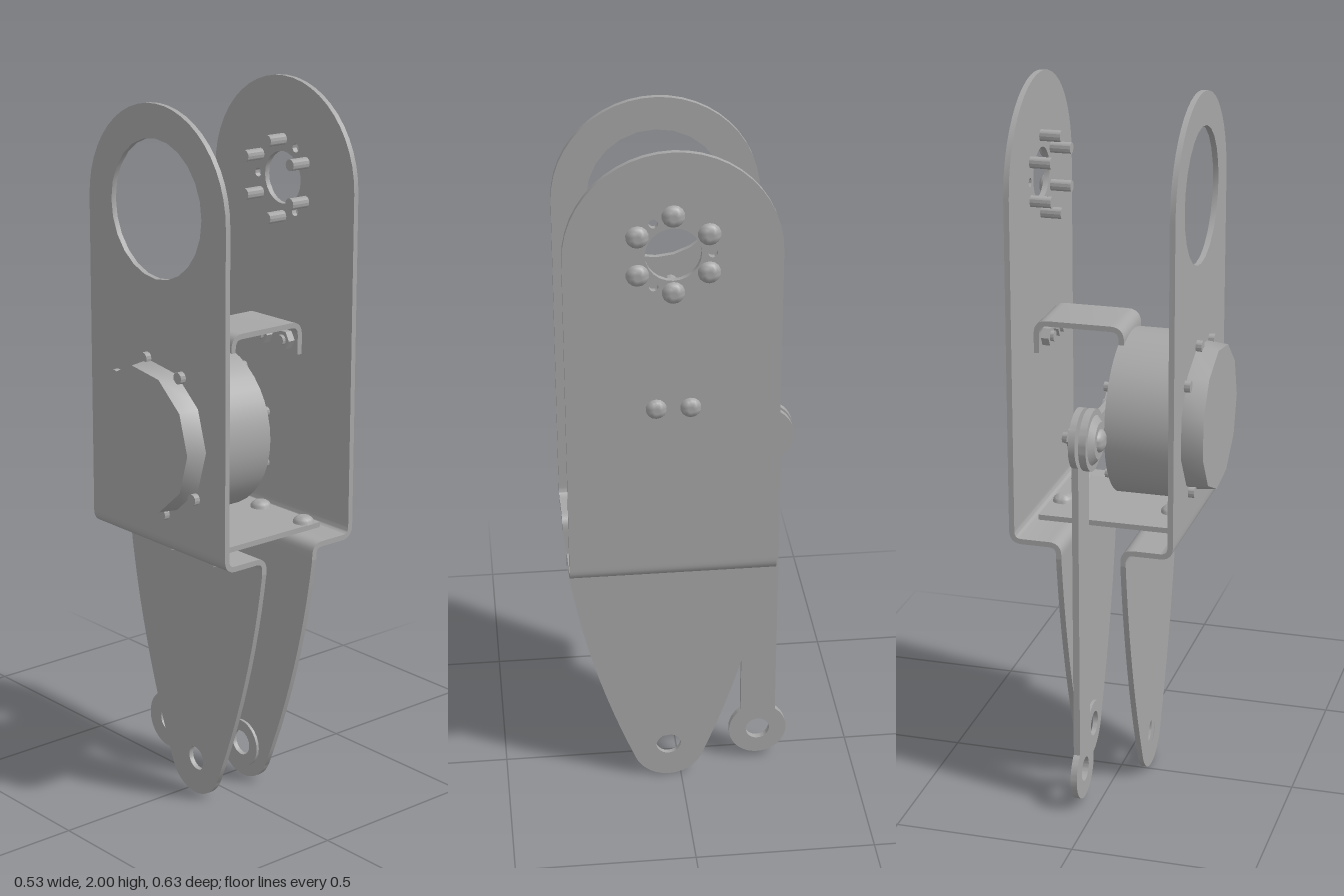
import * as THREE from 'three';
import { toCreasedNormals } from 'three/addons/utils/BufferGeometryUtils.js';

const steel = new THREE.MeshStandardMaterial({ color: 0xa6a6a6 });
steel.name = 'grey steel';
const ZC = 0.035; // centre line of the plates and motor
const SHEET = 0.015; // sheet thickness

export function createModel() {
  const root = new THREE.Group();
  root.name = 'legLinkAssembly';

  const add = (name, geo, x = 0, y = 0, z = 0) => {
    const m = new THREE.Mesh(toCreasedNormals(geo, 0.6), steel);
    m.name = name;
    m.position.set(x, y, z);
    root.add(m);
    return m;
  };

  // Cylinder along x from x0 to x1, radius r0 to r1
  const rod = (name, x0, x1, y, z, r0, r1 = r0, n = 24) =>
    add(name, new THREE.CylinderGeometry(r1, r0, x1 - x0, n).rotateZ(-Math.PI / 2), (x0 + x1) / 2, y, z);

  // Half dome pointing along a direction
  const dome = (name, x, y, z, r, h, dir) => {
    const g = new THREE.SphereGeometry(r, 14, 5, 0, Math.PI * 2, 0, Math.PI / 2).scale(1, h / r, 1);
    const m = add(name, g, x, y, z);
    m.quaternion.setFromUnitVectors(new THREE.Vector3(0, 1, 0), new THREE.Vector3(...dir));
  };

  const hole = (shape, u, y, r) => shape.holes.push(new THREE.Path().absarc(u, y, r, 0, Math.PI * 2, true));

  // Flat plate whose outline lies in the z-y plane, centred on x
  const plate = (name, shape, x, t = SHEET, segs = 12) =>
    add(name, new THREE.ExtrudeGeometry(shape, { depth: t, bevelEnabled: false, curveSegments: segs })
      .rotateY(-Math.PI / 2), x + t / 2);

  // Bent strip: an x-y centre line with rounded corners, extruded from z0 to z1
  const strip = (name, pts, bend, z0, z1) => {
    const v = pts.map(p => new THREE.Vector2(...p));
    const line = [v[0]];
    for (let i = 1; i < v.length - 1; i++) {
      const a = v[i].clone().add(v[i - 1].clone().sub(v[i]).setLength(bend));
      const b = v[i].clone().add(v[i + 1].clone().sub(v[i]).setLength(bend));
      line.push(...new THREE.QuadraticBezierCurve(a, v[i], b).getPoints(6));
    }
    line.push(v[v.length - 1]);
    const side = s => line.map((p, i) => {
      const d = line[Math.min(i + 1, line.length - 1)].clone().sub(line[Math.max(i - 1, 0)]).normalize();
      return new THREE.Vector2(p.x - d.y * s, p.y + d.x * s);
    });
    const shape = new THREE.Shape([...side(SHEET / 2), ...side(-SHEET / 2).reverse()]);
    add(name, new THREE.ExtrudeGeometry(shape, { depth: z1 - z0, bevelEnabled: false }), 0, 0, z0);
  };

  // Side plates, round at the top
  const HW = 0.28;
  const upperShape = top => {
    const s = new THREE.Shape();
    s.moveTo(ZC - HW, 0.815);
    s.lineTo(ZC + HW, 0.815);
    s.lineTo(ZC + HW, top - HW);
    s.absarc(ZC, top - HW, HW, 0, Math.PI, false);
    s.closePath();
    return s;
  };
  const hubY = 1.725;
  const leftShape = upperShape(2);
  hole(leftShape, ZC, hubY, 0.072);
  for (let i = 0; i < 3; i++) {
    const a = Math.PI + i * Math.PI * 2 / 3;
    hole(leftShape, ZC + Math.cos(a) * 0.1, hubY + Math.sin(a) * 0.1, 0.012);
  }
  plate('leftSidePlate', leftShape, 0.24);
  const rightShape = upperShape(1.97);
  hole(rightShape, ZC, 1.695, 0.185);
  plate('rightSidePlate', rightShape, -0.202);

  // Folded shoulders joining side plates to the legs
  strip('leftShoulder', [[0.24, 0.815], [0.24, 0.775], [0.108, 0.775], [0.108, 0.735]], 0.028, ZC - HW, ZC + HW);
  strip('rightShoulder', [[-0.202, 0.815], [-0.202, 0.775], [-0.072, 0.775], [-0.072, 0.735]], 0.028, ZC - HW, ZC + HW);

  // Tapered legs with a bushing on the inner face
  const pinY = 0.107;
  for (const [side, x, inward] of [['left', 0.108, -1], ['right', -0.072, 1]]) {
    const s = new THREE.Shape();
    s.moveTo(ZC + HW, 0.737);
    s.quadraticCurveTo(ZC + 0.235, 0.4, ZC + 0.095, 0.067);
    s.absarc(ZC, pinY, 0.103, -0.4, -Math.PI + 0.4, true);
    s.quadraticCurveTo(ZC - 0.235, 0.4, ZC - HW, 0.737);
    s.closePath();
    hole(s, ZC, pinY, 0.036);
    plate(side + 'Leg', s, x);
    const ring = new THREE.Shape().absarc(ZC, pinY, 0.068, 0, Math.PI * 2, false);
    hole(ring, ZC, pinY, 0.036);
    plate(side + 'LegBushing', ring, x + inward * 0.009, 0.014);
  }

  // Cross plate and its bolts
  add('crossPlate', new THREE.BoxGeometry(0.38, SHEET, 0.325), 0.02, 0.79, 0.063);
  for (const x of [-0.137, 0.175]) for (const z of [0.02, 0.197]) {
    dome('crossPlateBolt', x, 0.797, z, 0.03, 0.022, [0, 1, 0]);
    add('crossPlateNut', new THREE.CylinderGeometry(0.027, 0.027, 0.02, 6), x, 0.758, z);
  }

  // Hub screws on the left plate
  for (let i = 0; i < 6; i++) {
    const a = Math.PI / 2 + i * Math.PI / 3;
    const y = hubY + Math.sin(a) * 0.105, z = ZC + Math.cos(a) * 0.105;
    rod('hubScrewShaft', 0.175, 0.247, y, z, 0.016, 0.016, 12);
    dome('hubScrewHead', 0.247, y, z, 0.03, 0.019, [1, 0, 0]);
  }

  // Upper bracket between motor and left plate
  strip('motorBracket', [[-0.014, 1.24], [-0.014, 1.335], [0.224, 1.335], [0.224, 1.25]], 0.03, -0.055, 0.12);
  for (const z of [-0.01, 0.08]) {
    dome('bracketScrewHead', 0.247, 1.288, z, 0.028, 0.018, [1, 0, 0]);
    rod('bracketNut', 0.195, 0.218, 1.288, z, 0.028, 0.028, 6);
    rod('bracketScrewEnd', 0.185, 0.2, 1.288, z, 0.015, 0.015, 12);
  }

  // Motor body, end cap and screws
  const motorY = 1.083;
  rod('motorBody', -0.195, -0.006, motorY, ZC - 0.002, 0.228, 0.228, 40);
  rod('motorEndCap', -0.268, -0.19, motorY, ZC - 0.003, 0.2, 0.208, 11);
  for (const deg of [40, 80, 120, 220, 260, 300]) {
    const a = deg * Math.PI / 180;
    const y = motorY + Math.sin(a) * 0.212, z = ZC - Math.cos(a) * 0.212;
    rod('motorRearScrew', -0.226, -0.2, y, z, 0.016, 0.016, 12);
  }
  for (const deg of [35, 120, 160, 200, 240, 320]) {
    const a = deg * Math.PI / 180;
    rod('motorFrontScrew', -0.01, 0.01, motorY + Math.sin(a) * 0.205, ZC - Math.cos(a) * 0.205, 0.013, 0.013, 12);
  }

  // Output horn
  rod('hornBase', -0.008, 0.004, motorY, ZC, 0.07);
  rod('hornDisc', 0.002, 0.012, motorY, ZC, 0.088);
  rod('hornCollar', 0.028, 0.045, motorY, ZC, 0.06);
  rod('hornBolt', 0.045, 0.06, motorY, ZC, 0.025, 0.025, 6);

  // Bar with round ends; built upright, from y0 to y1
  const barShape = (u, y0, y1, r, w) => {
    const s = new THREE.Shape();
    const a = Math.asin(w / r);
    s.absarc(u, y0, r, Math.PI / 2 + a, Math.PI * 2.5 - a, false);
    s.absarc(u, y1, r, -Math.PI / 2 + a, Math.PI * 1.5 - a, false);
    s.closePath();
    return s;
  };
  const crankZ = -0.232;

  // Crank arm from the horn to the push rod
  const crank = plate('crankArm', barShape(0, crankZ, ZC, 0.084, 0.05), 0, 0.02, 24);
  crank.rotation.x = Math.PI / 2;
  crank.position.set(0.03, motorY, 0);

  // Push rod with an eye at the lower end
  const link = barShape(crankZ + 0.002, 0.103, motorY, 0.083, 0.05);
  hole(link, crankZ + 0.002, 0.103, 0.034);
  plate('pushRod', link, 0.05, 0.018, 24);

  // Crank pin: dome head, washers, nut and threaded end
  dome('crankPinHead', -0.004, motorY, crankZ, 0.032, 0.018, [-1, 0, 0]);
  rod('crankPinWasher', -0.005, 0.012, motorY, crankZ, 0.05, 0.07);
  rod('crankPinSpacer', 0.028, 0.043, motorY, crankZ, 0.045);
  rod('crankPinNutWasher', 0.058, 0.063, motorY, crankZ, 0.042);
  rod('crankPinNut', 0.062, 0.078, motorY, crankZ, 0.032, 0.032, 6);
  rod('crankPinEnd', 0.076, 0.096, motorY, crankZ, 0.018, 0.014, 12);

  return root;
}
